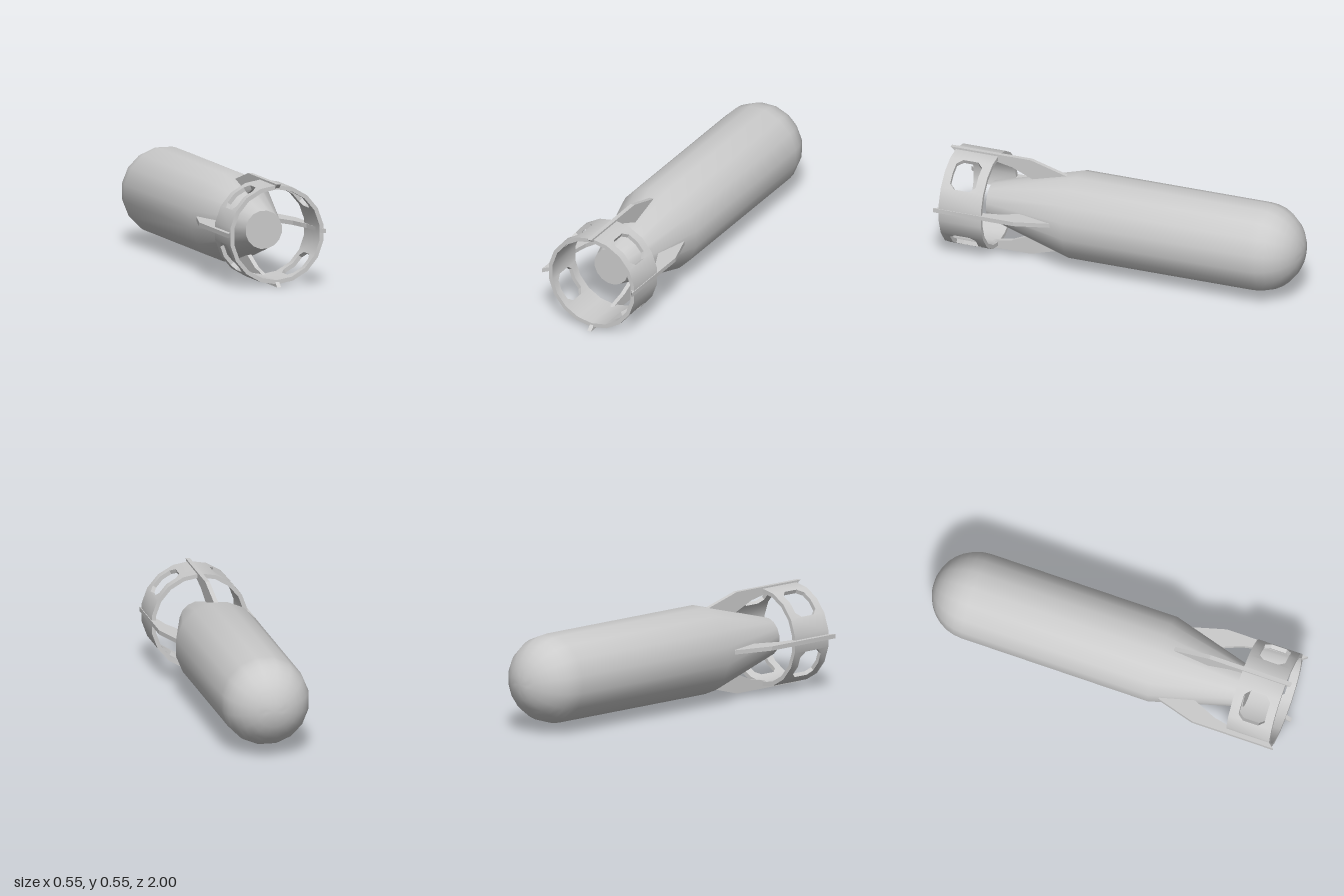
import * as THREE from 'three';
import { mergeGeometries, toCreasedNormals } from 'three/addons/utils/BufferGeometryUtils.js';

const AXIS_X = 0.01, AXIS_Y = 0.275;
const material = new THREE.MeshStandardMaterial({ color: 0xcccccc });

function addMesh(parent, name, geometry) {
  const mesh = new THREE.Mesh(geometry, material);
  mesh.name = name;
  parent.add(mesh);
  return mesh;
}

const polygon = (points) => new THREE.Shape(points.map(([x, y]) => new THREE.Vector2(x, y)));

// Round nose, straight barrel and tapered tail with a flat end, turned around z
function bodyGeometry() {
  const radius = 0.238, sides = 16, noseSteps = 8;
  const profile = [];
  for (let i = 0; i <= noseSteps; i++) {
    const a = (i / noseSteps) * Math.PI / 2;
    profile.push(new THREE.Vector2(radius * Math.sin(a), -0.765 - 0.235 * Math.cos(a)));
  }
  profile.push(
    new THREE.Vector2(radius, 0.28),
    new THREE.Vector2(0.103, 0.765),
    new THREE.Vector2(0, 0.765),
  );
  const geometry = new THREE.LatheGeometry(profile, sides, Math.PI / sides);
  geometry.rotateX(Math.PI / 2);
  return toCreasedNormals(geometry, 0.6);
}

// Tail ring: 18 mitred panels, some with half a chamfered window cut from one edge
function ringGeometry() {
  const sides = 18, inner = 0.242, outer = 0.264, z0 = 0.73, z1 = 0.97;
  const w0 = 0.78, w1 = 0.925, chamfer = 0.03;
  const windowCorners = [2, 6, 11, 16]; // ring corners, counted from the top

  const solid = [[0, z0], [1, z0], [1, z1], [0, z1]];
  const halfWindow = [
    [0, z0], [1, z0], [1, w0], [0.35, w0], [0.03, w0 + chamfer],
    [0.03, w1 - chamfer], [0.35, w1], [1, w1], [1, z1], [0, z1],
  ];
  const corner = (k) => {
    const a = Math.PI / 2 + (k / sides) * Math.PI * 2;
    return new THREE.Vector2(Math.cos(a), Math.sin(a));
  };

  const panels = [];
  for (let k = 0; k < sides; k++) {
    let outline = solid;
    if (windowCorners.includes(k + 1)) outline = halfWindow;
    if (windowCorners.includes(k)) outline = halfWindow.map(([u, z]) => [1 - u, z]);
    const panel = new THREE.ExtrudeGeometry(polygon(outline), { depth: 1, bevelEnabled: false });
    // Map (along panel, z, depth) onto the ring
    const a = corner(k), b = corner(k + 1), p = panel.attributes.position;
    for (let i = 0; i < p.count; i++) {
      const r = THREE.MathUtils.lerp(inner, outer, p.getZ(i));
      const q = a.clone().lerp(b, p.getX(i)).multiplyScalar(r);
      p.setXYZ(i, q.x, q.y, p.getY(i));
    }
    panels.push(panel);
  }
  return toCreasedNormals(mergeGeometries(panels), 0.5);
}

// Fin plate outlined as (z, radius), standing up in the yz plane
function finGeometry() {
  const thickness = 0.023;
  const outline = [
    [1, 0.274], [0.545, 0.274], [0.335, 0.214], [0.36, 0.17], [0.52, 0.158],
    [0.65, 0.214], [0.73, 0.23], [0.78, 0.245], [0.97, 0.25],
  ];
  const geometry = new THREE.ExtrudeGeometry(polygon(outline), { depth: thickness, bevelEnabled: false });
  geometry.translate(0, 0, -thickness / 2);
  geometry.rotateY(-Math.PI / 2);
  return geometry;
}

export function createModel() {
  const model = new THREE.Group();
  model.name = 'finnedCasing';

  addMesh(model, 'body', bodyGeometry()).position.set(AXIS_X, AXIS_Y, 0);
  addMesh(model, 'tailRing', ringGeometry()).position.set(AXIS_X, AXIS_Y + 0.001, 0);

  // Four fins; each plate sits slightly off the centre line
  const fin = finGeometry();
  ['topFin', 'rightFin', 'bottomFin', 'leftFin'].forEach((name, i) => {
    const mesh = addMesh(model, name, fin);
    mesh.rotation.z = i * Math.PI / 2;
    const upright = i % 2 === 0;
    mesh.position.set(upright ? 0.012 : 0, upright ? 0.274 : 0.287, 0);
  });
  return model;
}
